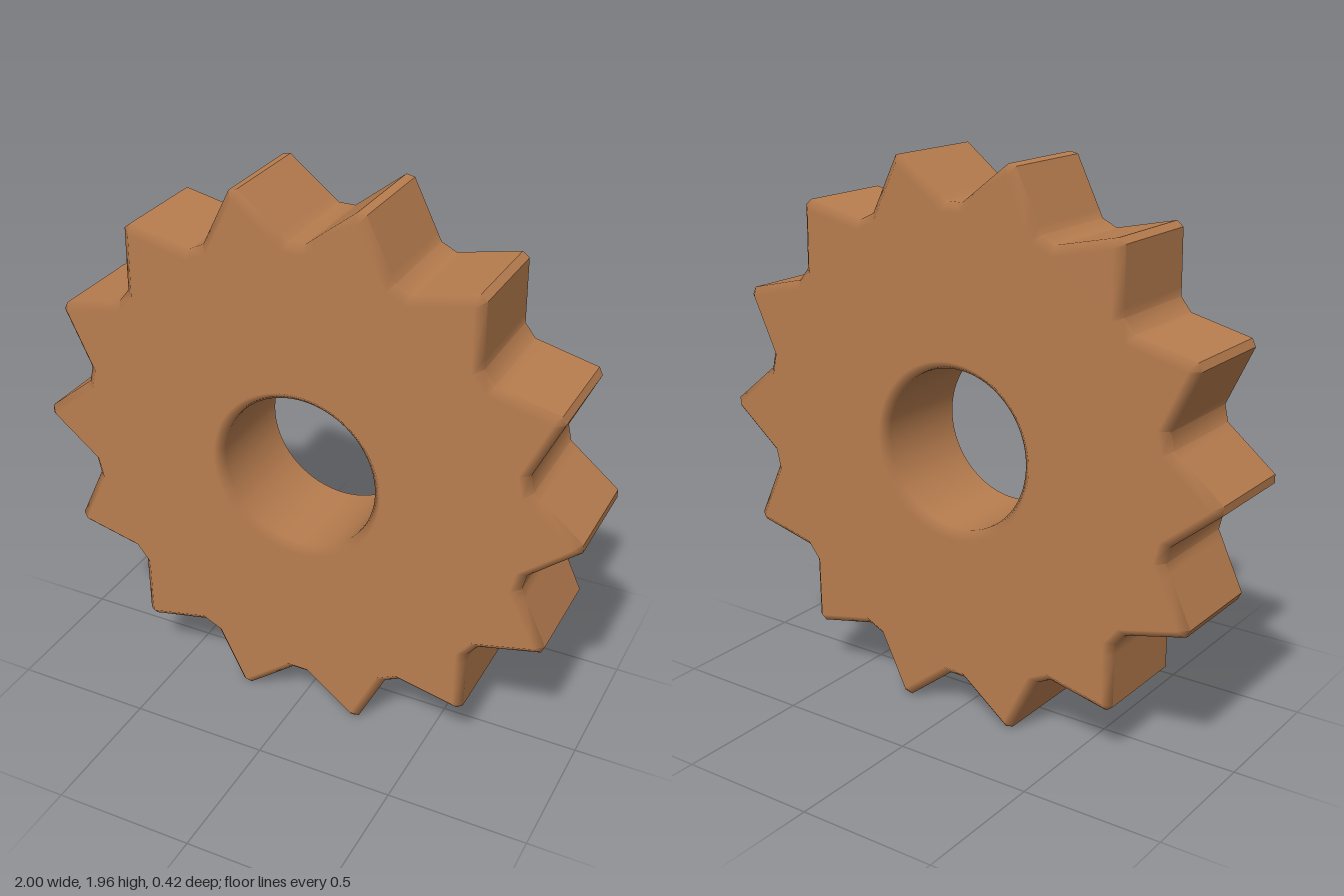
import * as THREE from 'three';
import { toCreasedNormals } from 'three/addons/utils/BufferGeometryUtils.js';

const TEETH = 14, TIP_R = 1, ROOT_R = 0.84, HOLE_R = 0.283;
const HALF_DEPTH = 0.21, BEVEL = 0.03, CENTER_Y = 0.978;

// Outline of all teeth: blunt tips, flat-bottomed valleys, and a support point
// on each flank that keeps the smooth shading close to the valley.
function gearShape() {
  const points = [];
  const add = (angle, r, t) => points.push(new THREE.Vector2(
    r * Math.cos(angle) - t * Math.sin(angle),
    r * Math.sin(angle) + t * Math.cos(angle)));
  const step = (Math.PI * 2) / TEETH;
  const tipHalf = 0.015, rootHalf = 0.03;

  for (let i = 0; i < TEETH; i++) {
    const tip = i * step;
    // flank foot, expressed in the frame of this tooth
    const c = Math.cos(step / 2), s = Math.sin(step / 2);
    const footR = ROOT_R * c + rootHalf * s;
    const footT = ROOT_R * s - rootHalf * c;
    const nearR = THREE.MathUtils.lerp(footR, TIP_R, 0.15);
    const nearT = THREE.MathUtils.lerp(footT, tipHalf, 0.15);
    add(tip, footR, -footT);
    add(tip, nearR, -nearT);
    add(tip, TIP_R, -tipHalf);
    add(tip, TIP_R, tipHalf);
    add(tip, nearR, nearT);
    add(tip, footR, footT);
  }
  const shape = new THREE.Shape(points);
  shape.holes.push(new THREE.Path().absarc(0, 0, HOLE_R, 0, Math.PI * 2, true));
  return shape;
}

// Flat faces and straight walls, with the shading blended across the bevel.
function softenBevel(geometry) {
  const result = toCreasedNormals(geometry, THREE.MathUtils.degToRad(47));
  const pos = result.attributes.position, normal = result.attributes.normal;
  const n = new THREE.Vector3();
  for (let i = 0; i < pos.count; i++) {
    const z = pos.getZ(i);
    if (Math.abs(z) > HALF_DEPTH - 0.001) n.set(0, 0, Math.sign(z));
    else n.fromBufferAttribute(normal, i).setZ(0).normalize();
    normal.setXYZ(i, n.x, n.y, n.z);
  }
  return result;
}

export function createModel() {
  const group = new THREE.Group();
  group.name = 'gear';

  // toothed disc with a round bore, chamfered on both faces
  const geometry = new THREE.ExtrudeGeometry(gearShape(), {
    depth: 2 * (HALF_DEPTH - BEVEL),
    bevelEnabled: true,
    bevelThickness: BEVEL,
    bevelSize: BEVEL,
    bevelOffset: -BEVEL,
    bevelSegments: 1,
    curveSegments: 64,
  });
  geometry.translate(0, 0, -(HALF_DEPTH - BEVEL));

  const wheel = new THREE.Mesh(
    softenBevel(geometry),
    new THREE.MeshStandardMaterial({ color: 0xb87d4f }));
  wheel.name = 'toothedWheel';
  wheel.position.y = CENTER_Y;
  group.add(wheel);
  return group;
}
